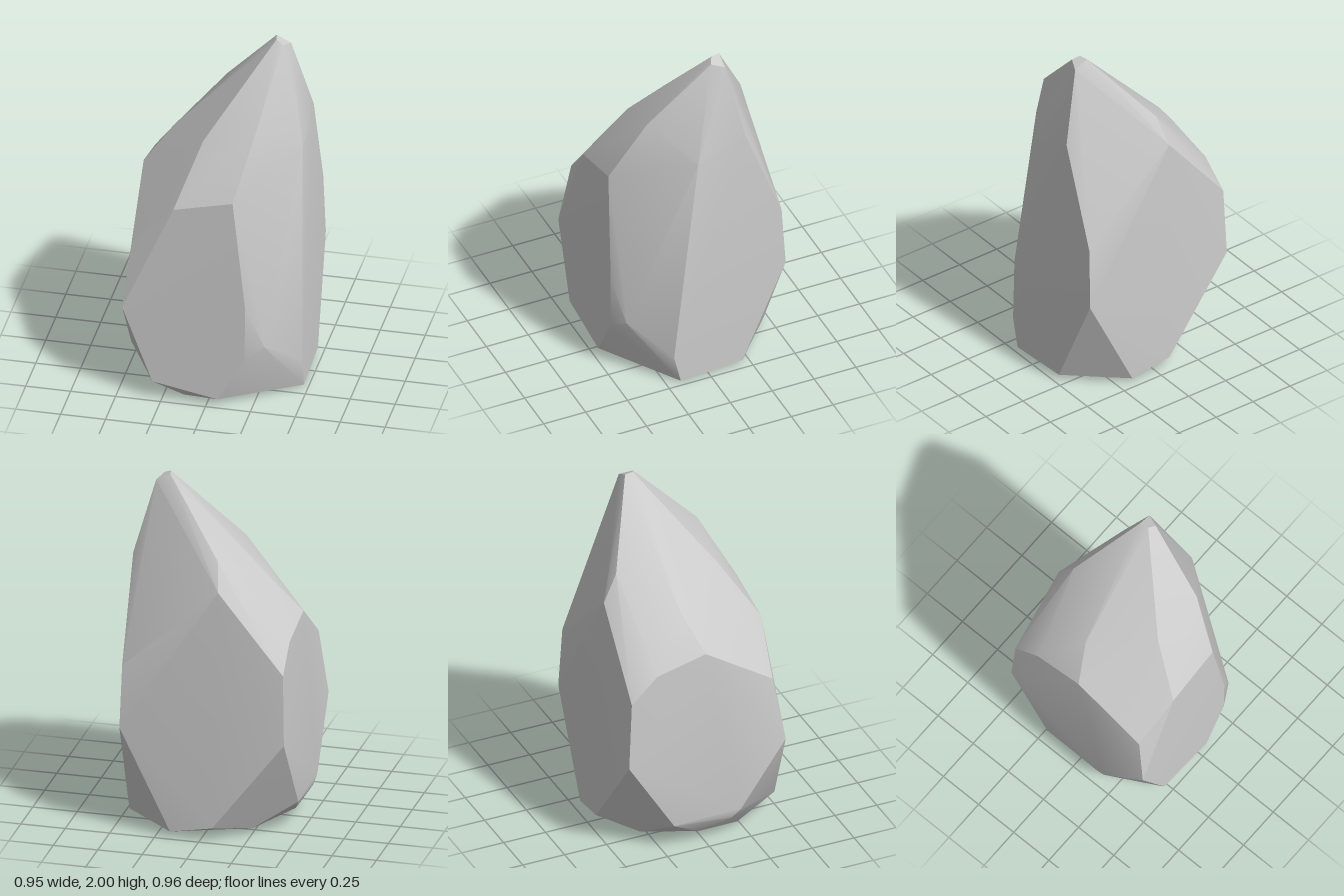
import * as THREE from 'three';
import { ConvexGeometry } from 'three/addons/geometries/ConvexGeometry.js';
import { toCreasedNormals } from 'three/addons/utils/BufferGeometryUtils.js';

// Corners of the chiselled boulder, grouped by region: [x, y, z]
const tip = [
  [0.25, 2.0, -0.16], [0.33, 1.96, -0.16], [0.3, 1.98, -0.09], [0.26, 2.0, -0.11],
];
const shoulders = [
  [0.44, 1.55, -0.23], [0.44, 1.43, 0.05], [0.23, 1.63, 0.26],
  [-0.07, 1.6, -0.36], [-0.095, 1.45, -0.445], [-0.3, 1.41, -0.08], [-0.07, 1.52, 0.24],
];
const frontFace = [
  [0.14, 1.27, 0.45], [-0.19, 1.19, 0.45], [-0.43, 0.93, 0.41],
  [-0.47, 0.55, 0.47], [0.215, 0.62, 0.47], [0.31, 0.37, 0.42], [0.21, 0.3, 0.47],
];
const flanks = [
  [-0.455, 1.21, 0], [-0.455, 1.14, -0.29], [-0.46, 1.0, -0.445], [-0.47, 0.6, -0.465],
  [0.445, 0.97, -0.445], [0.455, 0.61, -0.465],
];
const foot = [
  [0.475, 0.18, 0.21], [0.475, 0.01, 0.17], [0.47, 0.03, -0.2],
  [0.17, 0.03, -0.465], [-0.07, 0.08, -0.48], [-0.25, 0.03, -0.3],
  [-0.48, 0.17, -0.2], [-0.48, 0.18, 0.2], [-0.47, 0.13, 0.15], [-0.42, 0.06, -0.03],
  [-0.34, 0.005, 0.24], [-0.3, 0.11, 0.48], [-0.14, 0, 0.4], [0.06, 0.04, 0.475],
];

export function createModel() {
  const group = new THREE.Group();
  group.name = 'rock';

  // Faceted hull: shallow folds stay soft, chiselled edges stay sharp
  const points = [...tip, ...shoulders, ...frontFace, ...flanks, ...foot]
    .map((p) => new THREE.Vector3(...p));
  const hull = toCreasedNormals(new ConvexGeometry(points), 0.38);
  const boulder = new THREE.Mesh(hull, new THREE.MeshStandardMaterial({ color: 0xcccccc }));
  boulder.name = 'boulder';
  group.add(boulder);
  return group;
}
